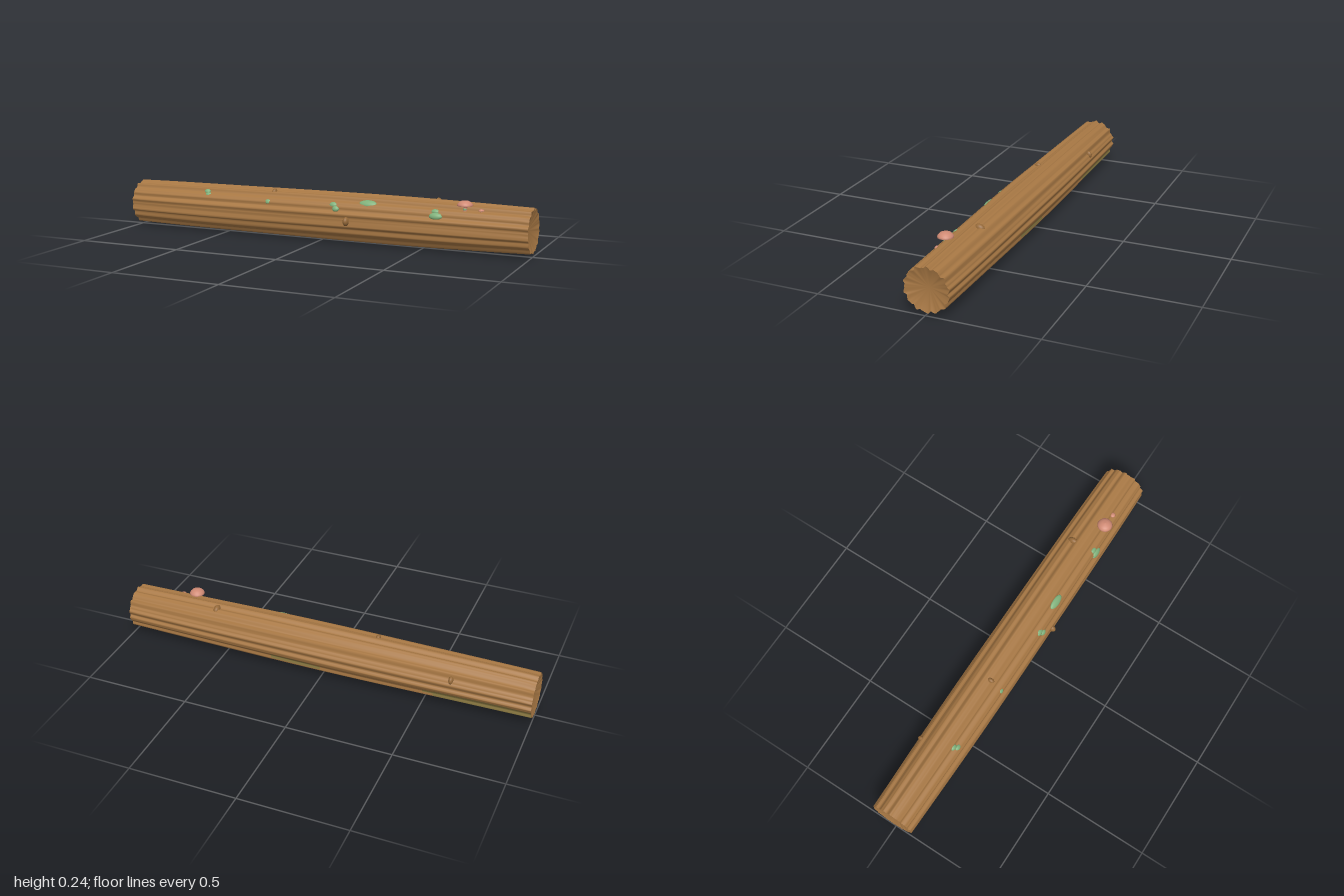
import * as THREE from 'three';

const AXIS_Y = 0.117, AXIS_Z = -0.008;
const AROUND = 112, ALONG = 40;

const mat = (name, color) => {
  const m = new THREE.MeshStandardMaterial({ color });
  m.name = name;
  return m;
};

// Bark radius: swelling towards the middle, with long scalloped ridges
function radius(x, a) {
  const swell = 0.099 + 0.0095 * (1 - x * x) + 0.001 * Math.sin(5 * x + 2 * a);
  const ridges = 0.0042 * Math.cos(14 * a + 0.35 * Math.sin(2.2 * x))
    + 0.0022 * Math.cos(23 * a + 1.3 + 0.3 * x)
    + 0.0012 * Math.cos(37 * a + 0.6 * Math.sin(3 * x));
  return swell + ridges;
}

// Angle 0 points up, a quarter turn points to the front
const onLog = (x, a, r) => new THREE.Vector3(x, AXIS_Y + r * Math.cos(a), AXIS_Z + r * Math.sin(a));

function geometryFrom(pos, index) {
  const g = new THREE.BufferGeometry();
  g.setAttribute('position', new THREE.Float32BufferAttribute(pos, 3));
  g.setIndex(index);
  g.computeVertexNormals();
  return g;
}

// Long olive stains on the underside at the back: x, angle, half length, half angle
const STAINS = [[-0.8, 4.22, 0.3, 0.2], [0.13, 4.2, 0.14, 0.13]];
const stained = (x, a) => STAINS.some(([sx, sa, l, w]) => ((x - sx) / l) ** 2 + ((a - sa) / w) ** 2 < 1);

function barkGeometry() {
  const pos = [], plain = [], olive = [];
  for (let i = 0; i <= ALONG; i++) {
    const x = -1 + (2 * i) / ALONG;
    for (let j = 0; j < AROUND; j++) {
      const a = (j / AROUND) * Math.PI * 2;
      pos.push(...onLog(x, a, radius(x, a)).toArray());
    }
  }
  for (let i = 0; i < ALONG; i++) {
    for (let j = 0; j < AROUND; j++) {
      const k = (j + 1) % AROUND;
      const A = i * AROUND + j, B = A + AROUND, D = i * AROUND + k, C = D + AROUND;
      const x = -1 + (2 * i + 1) / ALONG, a = ((j + 0.5) / AROUND) * Math.PI * 2;
      (stained(x, a) ? olive : plain).push(A, D, C, A, C, B);
    }
  }
  const g = geometryFrom(pos, [...plain, ...olive]);
  g.addGroup(0, plain.length, 0);
  g.addGroup(plain.length, olive.length, 1);
  return g;
}

// Slightly dished cut end
function endGeometry(side) {
  const pos = [side * 0.97, AXIS_Y, AXIS_Z], index = [];
  for (let j = 0; j < AROUND; j++) {
    const a = (j / AROUND) * Math.PI * 2;
    pos.push(...onLog(side, a, radius(side, a)).toArray());
    const p = 1 + j, q = 1 + ((j + 1) % AROUND);
    index.push(0, ...(side > 0 ? [p, q] : [q, p]));
  }
  return geometryFrom(pos, index);
}

export function createModel() {
  const log = new THREE.Group();
  log.name = 'log';
  const bark = mat('bark brown', 0xa87844);
  const olive = mat('olive stain', 0x8c7a42);
  const knotWood = mat('knot brown', 0x966a3a);
  const moss = mat('moss green', 0x7fb07a);
  const capPink = mat('mushroom pink', 0xd08a74);

  const add = (name, geo, material, parent = log) => {
    const m = new THREE.Mesh(geo, material);
    m.name = name;
    parent.add(m);
    return m;
  };

  add('bark', barkGeometry(), [bark, olive]);
  add('leftEnd', endGeometry(1), bark);
  add('rightEnd', endGeometry(-1), bark);

  // Ellipsoid sitting in the bark: half length, half height outwards, half width around
  const ball = new THREE.SphereGeometry(1, 20, 14);
  const blob = (name, material, x, a, r, sx, sr, sw) => {
    const m = add(name, ball, material);
    m.position.copy(onLog(x, a, r));
    m.rotation.x = a;
    m.scale.set(sx, sr, sw);
  };

  // Branch knots
  const knots = [
    [0.157, 1.6, 0.108, 0.014, 0.02, 0.021],
    [0.555, -0.29, 0.1, 0.015, 0.018, 0.024],
    [-0.243, 0.3, 0.104, 0.011, 0.013, 0.017],
    [-0.63, -1.12, 0.104, 0.011, 0.015, 0.018],
  ];
  knots.forEach((k) => blob('knot', knotWood, ...k));

  // Moss tufts along the upper front
  const tufts = [
    [-0.592, 0.62, 0.1, 0.016, 0.009, 0.013],
    [-0.58, 0.82, 0.1, 0.017, 0.009, 0.012],
    [-0.25, 0.98, 0.106, 0.015, 0.007, 0.012],
    [0.085, 0.9, 0.106, 0.02, 0.01, 0.014],
    [0.1, 1.08, 0.106, 0.017, 0.01, 0.014],
    [0.25, 0.71, 0.106, 0.042, 0.01, 0.019],
    [0.575, 0.84, 0.102, 0.02, 0.009, 0.012],
    [0.58, 1.06, 0.102, 0.031, 0.011, 0.016],
    [0.705, 0.6, 0.102, 0.009, 0.011, 0.01],
  ];
  tufts.forEach((t) => blob('mossTuft', moss, ...t));

  // Mushrooms: domed cap with a flat underside on a short stem
  const profile = [[0, 0], [0.9, 0], [1, 0.06], [0.93, 0.26], [0.72, 0.49], [0.4, 0.64], [0, 0.69]]
    .map(([r, y]) => new THREE.Vector2(r, y));
  const capGeo = new THREE.LatheGeometry(profile, 28);
  const mushrooms = [[0.705, 0.217, 0.05, 0.036], [0.78, 0.199, 0.05, 0.013]];
  for (const [x, y, z, r] of mushrooms) {
    const g = new THREE.Group();
    g.name = 'mushroom';
    g.position.set(x, y, z);
    log.add(g);
    add('mushroomCap', capGeo, capPink, g).scale.setScalar(r);
    const stem = add('mushroomStem', new THREE.CylinderGeometry(r * 0.22, r * 0.28, 0.03, 12), capPink, g);
    stem.position.y = -0.014;
  }
  return log;
}
